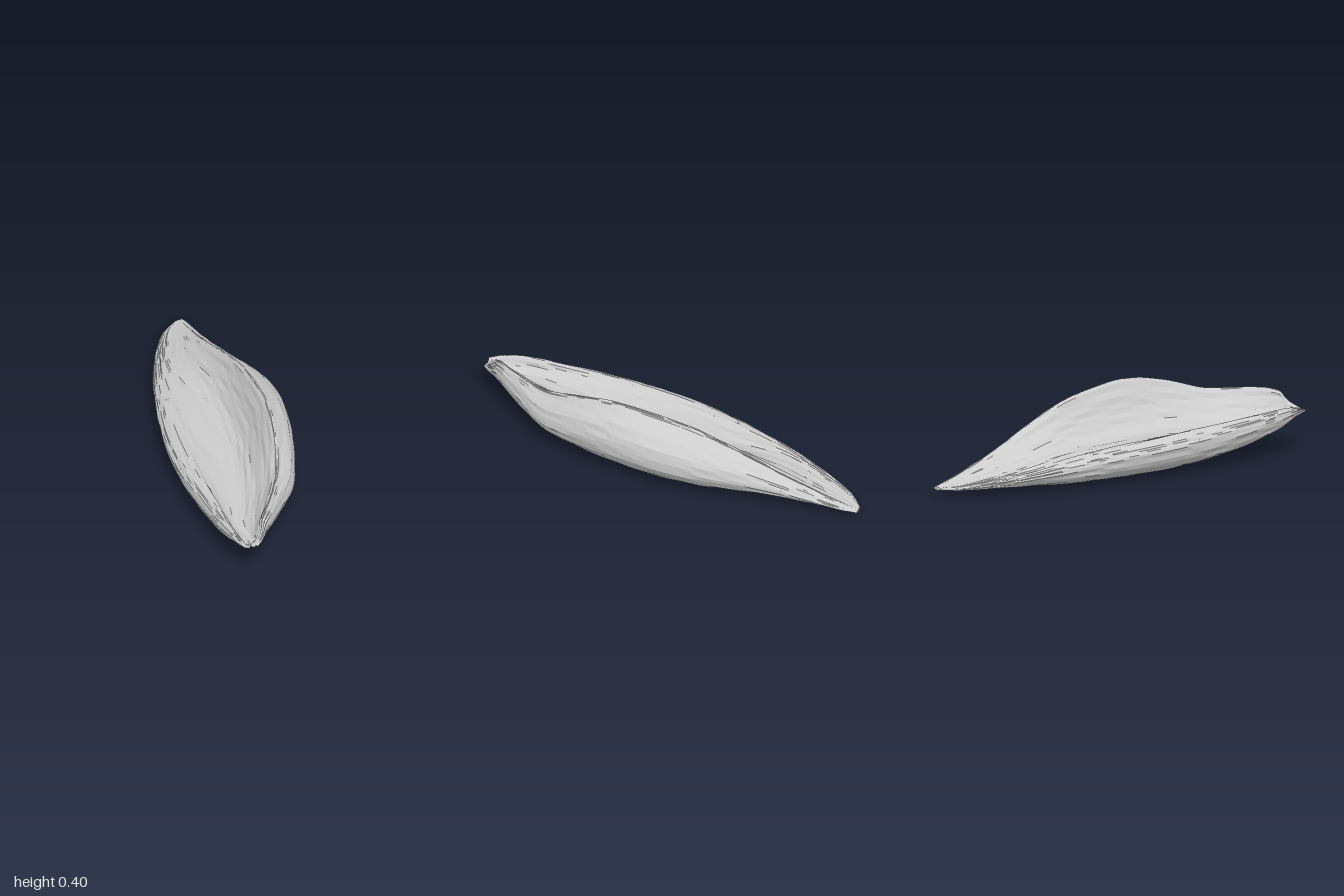
import * as THREE from 'three';

const SECTIONS = 64, AROUND = 64;

// Smooth curve through [z, value] stations, sampled by z
function profile(values, stations) {
  return (z) => {
    let i = 0;
    while (i < stations.length - 2 && z > stations[i + 1]) i++;
    const at = (k) => Math.min(Math.max(k, 0), stations.length - 1);
    const slope = (k) => (values[at(k + 1)] - values[at(k - 1)]) / (stations[at(k + 1)] - stations[at(k - 1)]);
    const h = stations[i + 1] - stations[i], t = (z - stations[i]) / h;
    const t2 = t * t, t3 = t2 * t;
    return (2 * t3 - 3 * t2 + 1) * values[i] + (t3 - 2 * t2 + t) * h * slope(i)
      + (3 * t2 - 2 * t3) * values[i + 1] + (t3 - t2) * h * slope(i + 1);
  };
}

// Outline, crest, rim and trough lines running from back tip to front lip
const Z = [-1, -0.93, -0.8, -0.6, -0.4, -0.2, 0, 0.2, 0.4, 0.6, 0.8, 0.92, 0.96, 1];
const leftX = profile([0.085, 0.005, -0.07, -0.152, -0.21, -0.257, -0.292, -0.305, -0.303, -0.287, -0.262, -0.235, -0.222, -0.205], Z);
const rightX = profile([0.133, 0.148, 0.165, 0.2, 0.245, 0.293, 0.305, 0.282, 0.234, 0.162, 0.022, -0.068, -0.1, -0.14], Z);
const crestX = profile([0.112, 0.115, 0.12, 0.13, 0.145, 0.155, 0.16, 0.155, 0.13, 0.075, -0.02, -0.097, -0.115, -0.155], Z);
const crestY = profile([0.052, 0.068, 0.11, 0.186, 0.27, 0.345, 0.385, 0.4, 0.37, 0.312, 0.304, 0.287, 0.235, 0.2], Z);
const rimY = profile([0.047, 0.054, 0.072, 0.108, 0.145, 0.172, 0.19, 0.204, 0.214, 0.222, 0.23, 0.223, 0.212, 0.2], Z);
const floorY = profile([0.049, 0.059, 0.082, 0.12, 0.148, 0.162, 0.168, 0.17, 0.17, 0.17, 0.172, 0.178, 0.183, 0.192], Z);
const baseY = profile([0.034, 0.034, 0.033, 0.025, 0.01, 0.004, 0.004, 0.008, 0.022, 0.052, 0.105, 0.155, 0.17, 0.187], Z);
// Share of the trough taken by the wall below the crest
const wall = profile([0.8, 0.8, 0.8, 0.75, 0.6, 0.46, 0.42, 0.42, 0.5, 0.6, 0.65, 0.5, 0.45, 0.45], Z);

// One closed cross-section, counter-clockwise seen from the front
function section(z) {
  const l = leftX(z), r = rightX(z), w = r - l, cx = crestX(z), cy = crestY(z);
  const b = baseY(z), f = floorY(z), rim = rimY(z);
  const ry = b + (cy - b) * 0.5, ly = b + (rim - b) * 0.72;
  const rx = l + w * 0.1, foot = (cx - rx) * wall(z);
  const points = [
    [l + w * 0.5, b], [l + w * 0.7, b + (ry - b) * 0.11], [l + w * 0.89, b + (ry - b) * 0.42],
    [r, ry], [r - (r - cx) * 0.21, ry + (cy - ry) * 0.55],
    [cx + (r - cx) * 0.12, cy - (cy - ry) * 0.06], [cx, cy],
    [cx - foot * 0.3, cy - (cy - f) * 0.42], [cx - foot * 0.62, cy - (cy - f) * 0.8],
    [cx - foot, f], [rx + (cx - rx - foot) * 0.35, f + (rim - f) * 0.25],
    [rx, rim], [l + w * 0.03, rim - (rim - ly) * 0.4],
    [l, ly], [l + w * 0.05, b + (ly - b) * 0.42], [l + w * 0.22, b + (ly - b) * 0.1],
  ].map(([x, y]) => new THREE.Vector3(x, y, z));
  return new THREE.CatmullRomCurve3(points, true, 'centripetal');
}

// Shallow lengthwise wrinkles, fading at both ends
function wrinkle(a, z) {
  const fade = Math.min(1, (1 - Math.abs(z)) * 4);
  return fade * (0.002 * Math.sin(a * 19 + z * 5 + Math.sin(z * 9 + a * 3))
    + 0.0015 * Math.sin(a * 31 - z * 8 + 2 * Math.sin(z * 13)));
}

function huskGeometry() {
  const positions = [], indices = [];
  for (let i = 0; i <= SECTIONS; i++) {
    const z = -Math.cos((i / SECTIONS) * Math.PI) * 0.5 + (i / SECTIONS - 0.5);
    const curve = section(z);
    for (let j = 0; j < AROUND; j++) {
      const t = j / AROUND, p = curve.getPoint(t), tangent = curve.getTangent(t);
      const d = wrinkle(t * Math.PI * 2, z);
      // Ragged edge on the front lip
      const ragged = z > 0.85 ? -0.012 * (z - 0.85) / 0.15 * (1 + Math.sin(j * 2.7)) : 0;
      positions.push(p.x + tangent.y * d, Math.max(0, p.y - tangent.x * d), z + ragged);
    }
  }
  for (let i = 0; i < SECTIONS; i++) {
    for (let j = 0; j < AROUND; j++) {
      const a = i * AROUND + j, b = i * AROUND + (j + 1) % AROUND;
      indices.push(a, b, b + AROUND, a, b + AROUND, a + AROUND);
    }
  }
  // Close the two small ends
  for (const [i, front] of [[0, false], [SECTIONS, true]]) {
    const start = i * AROUND, centre = positions.length / 3, mid = [0, 0, 0];
    for (let j = 0; j < AROUND; j++) {
      for (let k = 0; k < 3; k++) mid[k] += positions[(start + j) * 3 + k] / AROUND;
    }
    positions.push(...mid);
    for (let j = 0; j < AROUND; j++) {
      const a = start + j, b = start + (j + 1) % AROUND;
      indices.push(centre, front ? a : b, front ? b : a);
    }
  }
  const geometry = new THREE.BufferGeometry();
  geometry.setAttribute('position', new THREE.Float32BufferAttribute(positions, 3));
  geometry.setIndex(indices);
  const faceted = geometry.toNonIndexed();
  faceted.computeVertexNormals();
  return faceted;
}

export function createModel() {
  const group = new THREE.Group();
  group.name = 'curledHusk';
  const grey = new THREE.MeshStandardMaterial({ color: 0xcccccc, flatShading: true });
  grey.name = 'huskGrey';
  const husk = new THREE.Mesh(huskGeometry(), grey);
  husk.name = 'husk';
  group.add(husk);
  return group;
}
